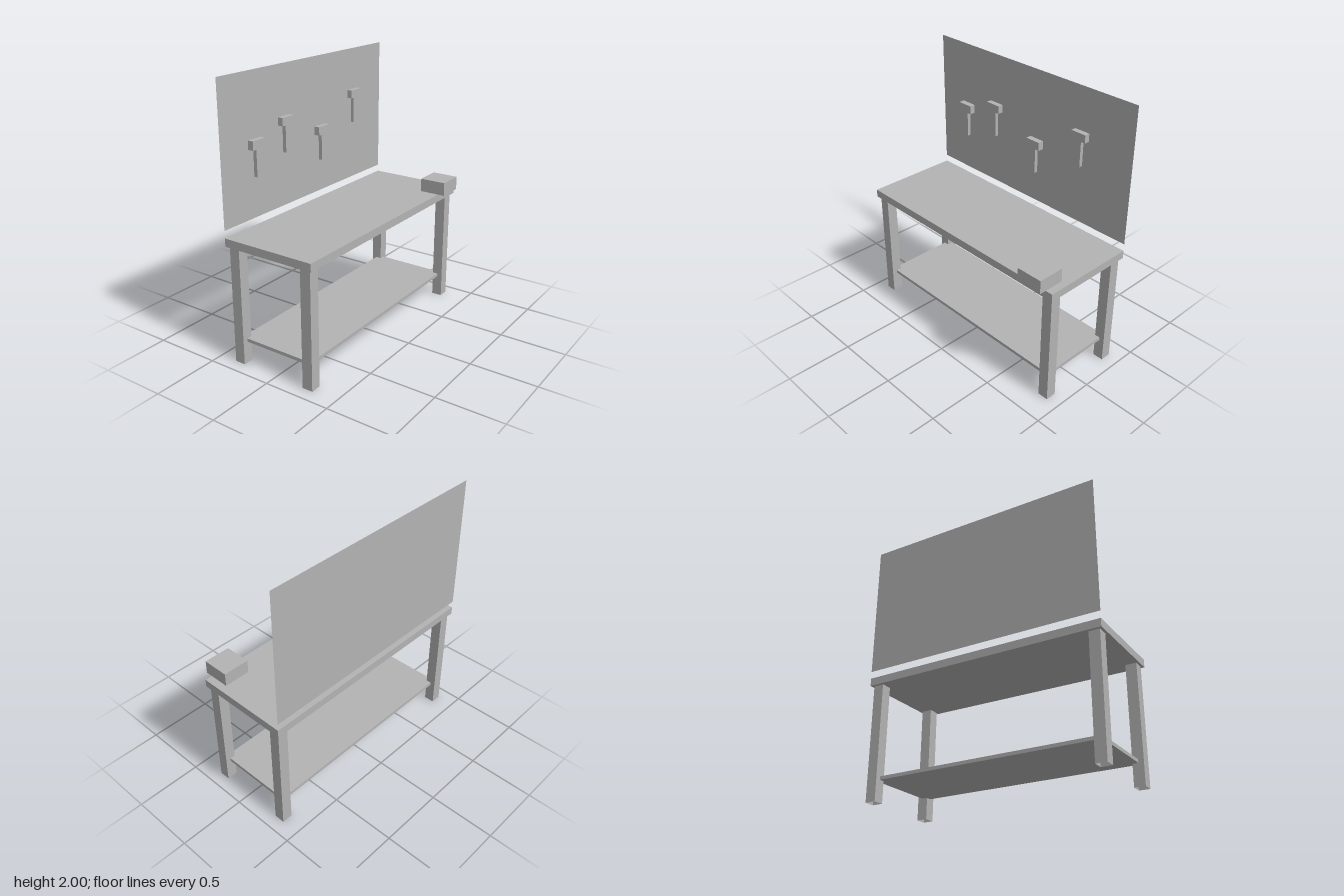
import * as THREE from 'three';

const grey = new THREE.MeshStandardMaterial({ color: 0xb3b3b3, side: THREE.DoubleSide });
grey.name = 'plainGrey';

// Box given by its lower and upper bounds on each axis
function box(name, [x0, x1], [y0, y1], [z0, z1]) {
  const mesh = new THREE.Mesh(new THREE.BoxGeometry(x1 - x0, y1 - y0, z1 - z0), grey);
  mesh.position.set((x0 + x1) / 2, (y0 + y1) / 2, (z0 + z1) / 2);
  mesh.name = name;
  return mesh;
}

// Remove the underside of a box (faces run +x, -x, +y, -y, +z, -z)
function openBottom(mesh) {
  const g = mesh.geometry;
  const index = Array.from(g.index.array);
  index.splice(18, 6);
  g.setIndex(index);
  g.clearGroups();
  return mesh;
}

// Hammer hanging on the board: x centre, bottom and top of the whole tool
function hammer(x, bottom, top, neck, back) {
  const group = new THREE.Group();
  group.name = 'hammer';
  group.add(
    box('hammerHead', [x - 0.061, x + 0.061], [neck, top], [back, -0.323]),
    box('hammerHandle', [x - 0.019, x + 0.019], [bottom, neck], [-0.361, -0.333])
  );
  return group;
}

export function createModel() {
  const model = new THREE.Group();
  model.name = 'workbench';

  // Worktop and lower shelf
  model.add(box('worktop', [-0.923, 0.923], [0.868, 0.927], [-0.385, 0.333]));
  model.add(box('lowerShelf', [-0.865, 0.865], [0.16, 0.185], [-0.325, 0.272]));

  // Four hollow-footed legs
  for (const x of [-0.864, 0.864]) {
    for (const z of [-0.323, 0.271]) {
      model.add(openBottom(box('leg', [x - 0.04, x + 0.04], [0, 0.868], [z - 0.04, z + 0.04])));
    }
  }

  // Thin tool board standing above the back edge
  const board = new THREE.Mesh(new THREE.PlaneGeometry(1.846, 1.02), grey);
  board.name = 'toolBoard';
  board.position.set(0, 1.49, -0.385);
  model.add(board);

  // Hanging hammers
  model.add(hammer(-0.617, 1.285, 1.545, 1.48, -0.367));
  model.add(hammer(-0.31, 1.385, 1.642, 1.583, -0.363));
  model.add(hammer(0.098, 1.235, 1.493, 1.43, -0.367));
  model.add(hammer(0.51, 1.44, 1.695, 1.635, -0.363));

  // Vise block overhanging the front edge
  model.add(box('viseBlock', [0.667, 0.867], [0.927, 1.028], [0.183, 0.385]));

  return model;
}
